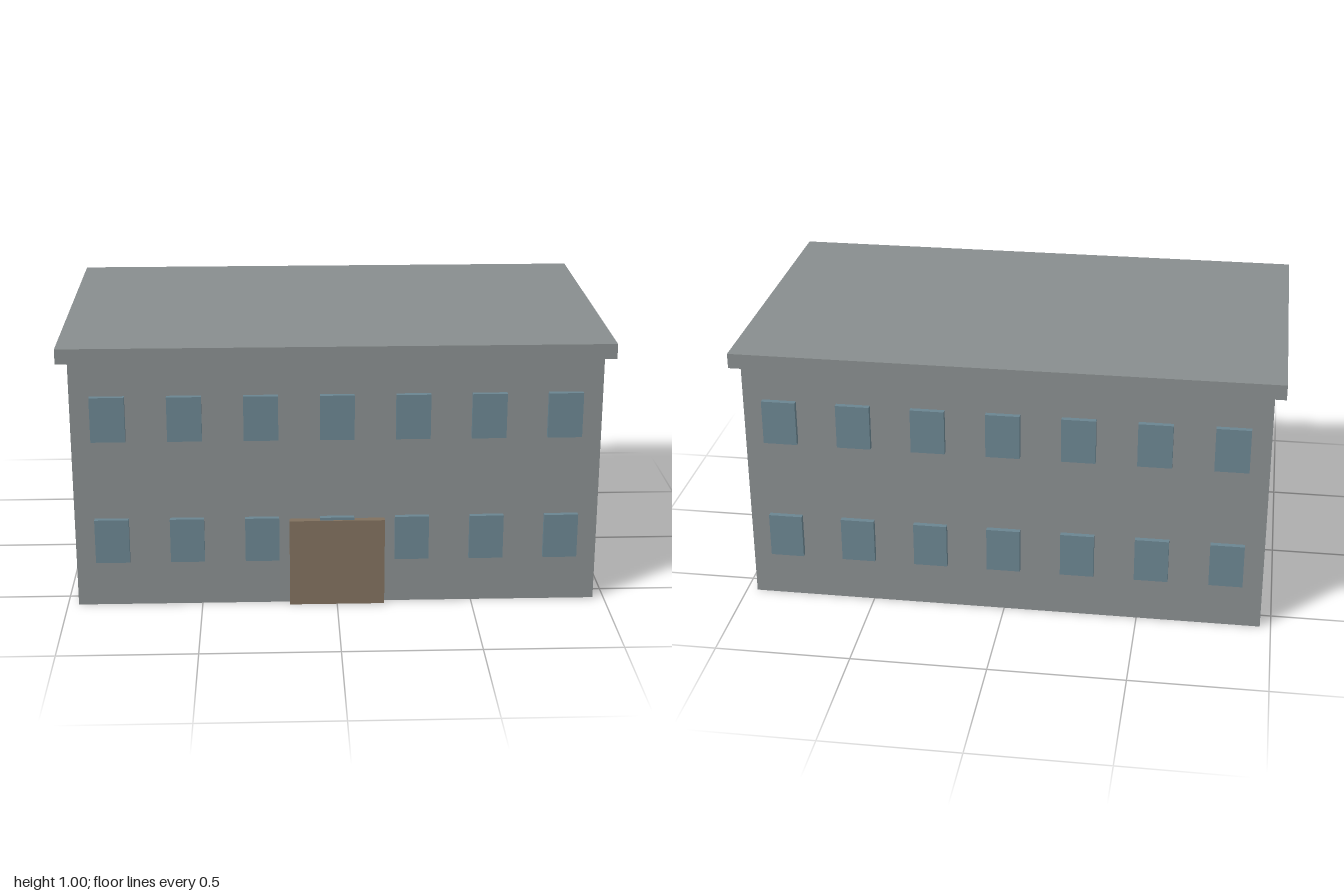
import * as THREE from 'three';

function material(name, color) {
  const m = new THREE.MeshStandardMaterial({ color });
  m.name = name;
  return m;
}

export function createModel() {
  const stone = material('grey stone', 0x888d8e);
  const glass = material('blue glass', 0x6a8490);
  const wood = material('brown wood', 0x80705e);

  const model = new THREE.Group();
  model.name = 'building';

  // Box placed by its centre in x and z and by its base in y
  function box(name, w, h, d, x, y, z, mat, parent = model) {
    const mesh = new THREE.Mesh(new THREE.BoxGeometry(w, h, d), mat);
    mesh.name = name;
    mesh.position.set(x, y + h / 2, z);
    parent.add(mesh);
  }

  const midZ = -0.002;
  const wallHalf = 0.578;

  // Main block and overhanging roof slab
  box('walls', 1.92, 0.94, wallHalf * 2, 0, 0, midZ, stone);
  box('roof', 2, 0.056, 1.2, 0, 0.94, midZ, stone);

  // Entrance door
  box('door', 0.35, 0.333, 0.026, 0, 0, midZ + wallHalf + 0.013, wood);

  // Two rows of seven windows on the front and the back
  for (const side of [1, -1]) {
    const windows = new THREE.Group();
    windows.name = side > 0 ? 'frontWindows' : 'backWindows';
    model.add(windows);
    for (const y of [0.175, 0.645]) {
      for (let i = -3; i <= 3; i++) {
        box('window', 0.125, 0.168, 0.02, i * 0.275, y, midZ + side * (wallHalf + 0.01), glass, windows);
      }
    }
  }

  return model;
}
